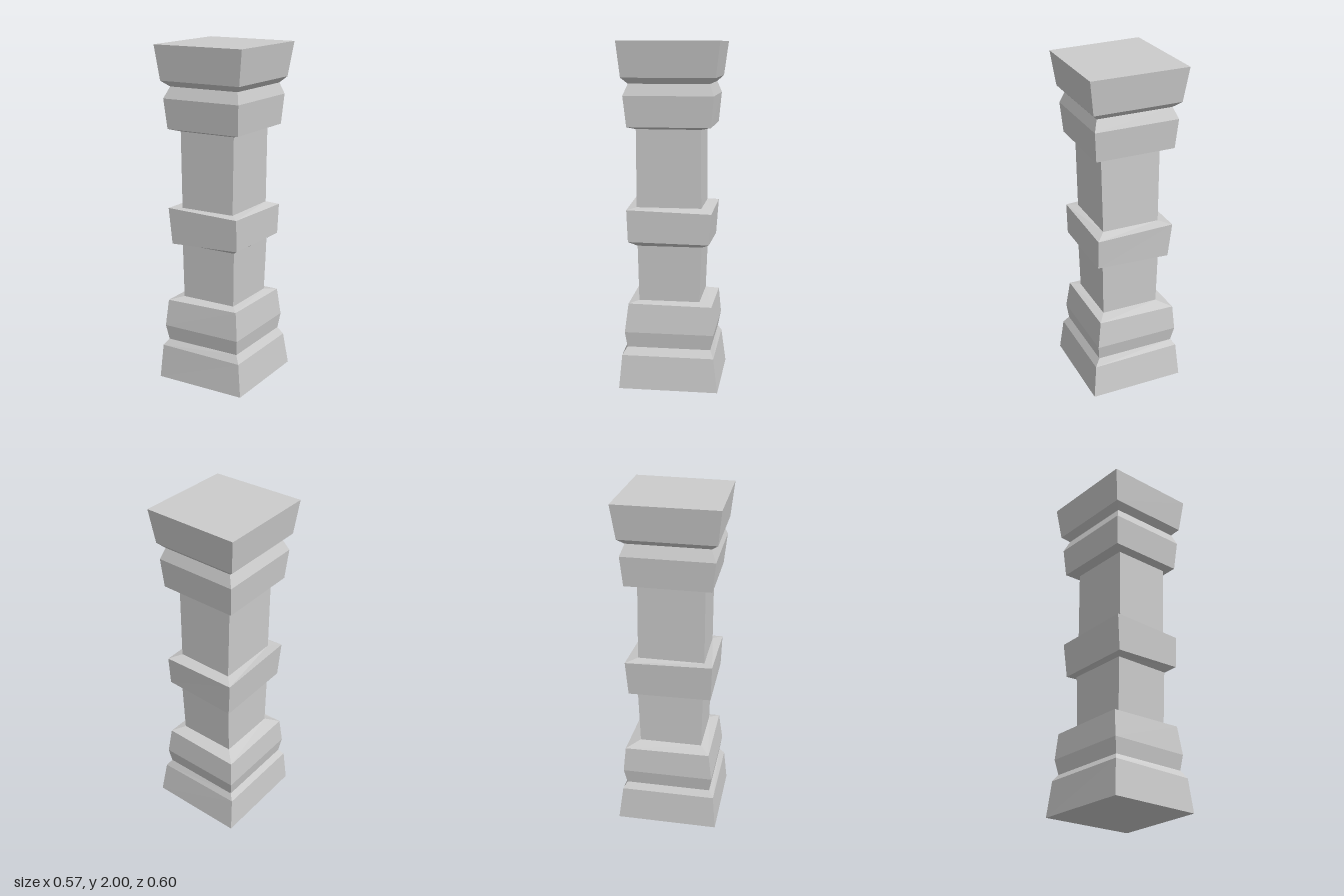
import * as THREE from 'three';

// Ring: [y, left x, right x, front z, back z, sideways tilt, front-back tilt]
const rings = [
  [0.00, -0.287, 0.286, 0.297, -0.300, 0, 0],
  [0.20, -0.272, 0.262, 0.280, -0.273, -0.004, 0],
  [0.24, -0.246, 0.232, 0.252, -0.252, 0, 0],
  [0.33, -0.262, 0.243, 0.266, -0.270, 0, 0],
  [0.49, -0.251, 0.222, 0.245, -0.256, 0.005, 0.003],
  [0.508, -0.175, 0.170, 0.187, -0.180, 0, 0],
  [0.835, -0.178, 0.178, 0.194, -0.192, 0, 0],
  [0.853, -0.217, 0.226, 0.245, -0.238, 0.009, 0.003],
  [1.05, -0.235, 0.228, 0.253, -0.252, -0.006, 0.007],
  [1.06, -0.173, 0.171, 0.199, -0.188, 0, 0],
  [1.51, -0.178, 0.179, 0.200, -0.183, 0, 0],
  [1.525, -0.237, 0.234, 0.247, -0.247, 0, 0],
  [1.70, -0.250, 0.247, 0.266, -0.263, 0, 0],
  [1.766, -0.221, 0.225, 0.237, -0.237, 0, 0],
  [1.80, -0.262, 0.258, 0.276, -0.274, 0, 0],
  [2.00, -0.287, 0.286, 0.297, -0.300, 0, 0],
];

// Four slightly skewed corners: front left, front right, back right, back left on screen
function corners([y, xl, xr, zf, zb, tx, tz]) {
  const skew = 0.965;
  return [
    [xl * 0.98, y - tx + tz, zf],
    [xr * skew, y + tx + tz, zf * skew],
    [xr, y + tx - tz, zb * skew],
    [xl, y - tx - tz, zb],
  ];
}

// Flat-faced block between consecutive rings, optionally closed at an end
function block(name, from, to, material) {
  const pos = [];
  const quad = (a, b, c, d) => pos.push(...a, ...b, ...c, ...a, ...c, ...d);
  for (let r = from; r < to; r++) {
    const low = corners(rings[r]), high = corners(rings[r + 1]);
    for (let i = 0; i < 4; i++) {
      const j = (i + 1) % 4;
      quad(low[i], low[j], high[j], high[i]);
    }
  }
  if (from === 0) quad(...corners(rings[0]).reverse());
  if (to === rings.length - 1) quad(...corners(rings[to]));
  const geometry = new THREE.BufferGeometry();
  geometry.setAttribute('position', new THREE.Float32BufferAttribute(pos, 3));
  geometry.computeVertexNormals();
  const mesh = new THREE.Mesh(geometry, material);
  mesh.name = name;
  return mesh;
}

export function createModel() {
  const group = new THREE.Group();
  group.name = 'pillar';
  const stone = new THREE.MeshStandardMaterial({ color: 0xcccccc, flatShading: true });
  const parts = [
    ['base', 0, 2],
    ['lowerCollar', 2, 5],
    ['lowerShaft', 5, 6],
    ['middleBand', 6, 9],
    ['upperShaft', 9, 10],
    ['upperCollar', 10, 13],
    ['capital', 13, 15],
  ];
  for (const [name, from, to] of parts) group.add(block(name, from, to, stone));
  return group;
}
